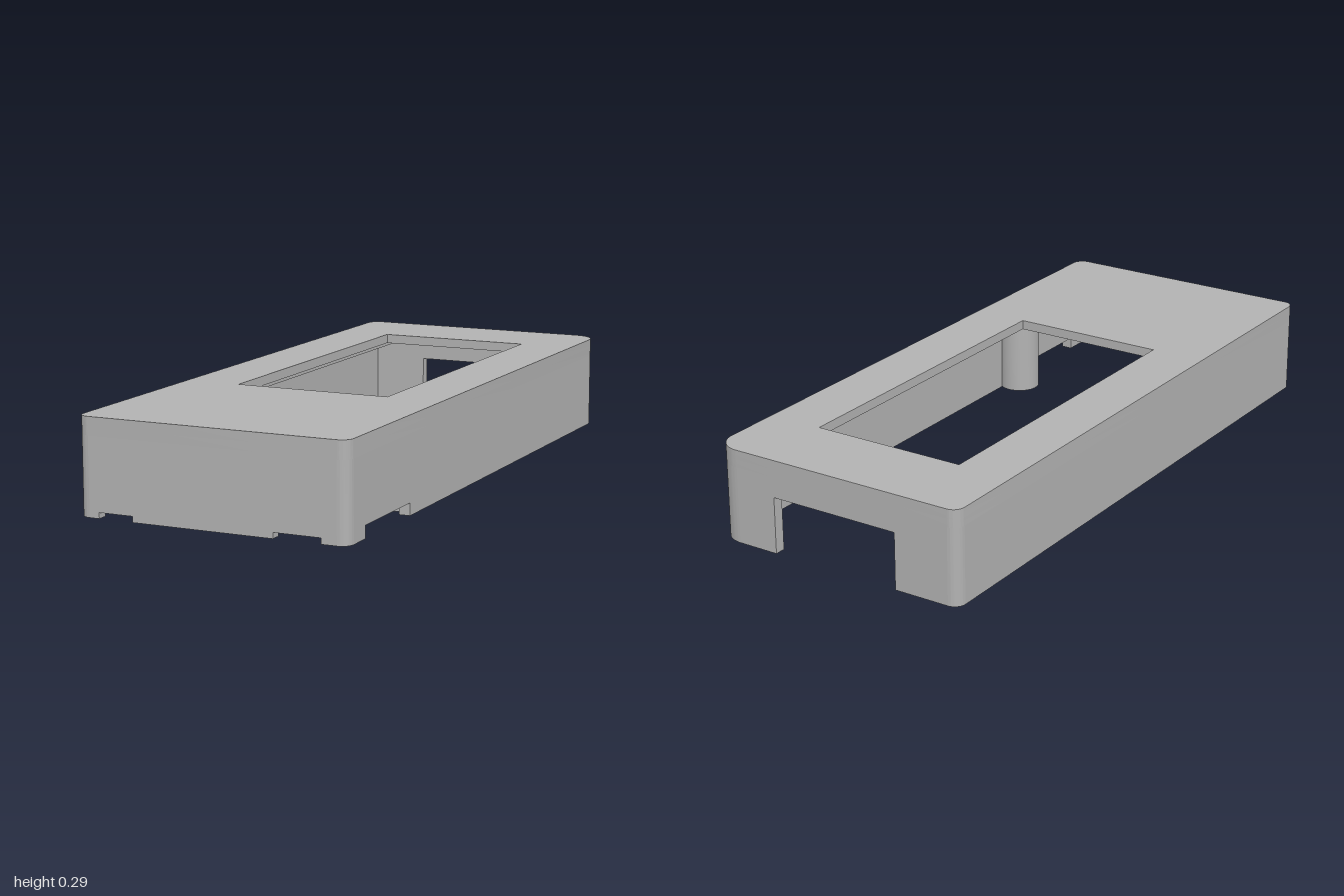
import * as THREE from 'three';
import { toCreasedNormals } from 'three/addons/utils/BufferGeometryUtils.js';

const W = 0.427, L = 1, H = 0.295;   // half width, half length, height
const T = 0.035, R = 0.08;           // wall thickness, large corner radius
const CEILING = 0.24, PLATE = 0.265; // undersides of the roof and of the thin window frame

export function createModel() {
  const group = new THREE.Group();
  const plastic = new THREE.MeshStandardMaterial({ color: 0xb2b2b2 });
  plastic.name = 'grey plastic';

  const add = (name, geometry, x = 0, y = 0, z = 0) => {
    const mesh = new THREE.Mesh(toCreasedNormals(geometry, 0.5), plastic);
    mesh.name = name;
    mesh.position.set(x, y, z);
    group.add(mesh);
    return mesh;
  };
  const extrude = (shape, depth) =>
    new THREE.ExtrudeGeometry(shape, { depth, bevelEnabled: false, curveSegments: 10 });

  // Case outline in x and z; one back corner is rounder
  const outline = () => {
    const s = new THREE.Shape();
    s.absarc(W - R, -L + R, R, -Math.PI / 2, 0);
    s.absarc(W - T, L - T, T, 0, Math.PI / 2);
    s.absarc(-W + T, L - T, T, Math.PI / 2, Math.PI);
    s.absarc(-W + T, -L + T, T, Math.PI, Math.PI * 1.5);
    s.closePath();
    return s;
  };

  // Horizontal slab with a rectangular opening
  const slab = (name, bottom, top, x, z0, z1) => {
    const s = outline();
    s.holes.push(new THREE.Path([
      new THREE.Vector2(-x, z0), new THREE.Vector2(-x, z1),
      new THREE.Vector2(x, z1), new THREE.Vector2(x, z0),
    ]));
    add(name, extrude(s, top - bottom).rotateX(Math.PI / 2), 0, top, 0);
  };
  slab('topPlateWithWindow', PLATE, H, 0.25, -0.735, 0.36);
  slab('roofWithDisplayRecess', CEILING, PLATE, 0.292, -0.94, 0.515);

  // Upright wall from a to b, with notches [start, end, height] in its lower edge
  const wall = (name, a, b, notches, x, z, turn = 0) => {
    const s = new THREE.Shape();
    s.moveTo(a, 0);
    for (const [n0, n1, h] of notches) {
      s.lineTo(n0, 0);
      s.lineTo(n0, h);
      s.lineTo(n1, h);
      s.lineTo(n1, 0);
    }
    s.lineTo(b, 0);
    s.lineTo(b, CEILING);
    s.lineTo(a, CEILING);
    s.closePath();
    add(name, extrude(s, T), x, 0, z).rotation.y = turn;
  };
  wall('frontWall', -W + T, W - T, [[-0.36, -0.25, 0.018], [0.197, 0.345, 0.018]], 0, L - T);
  wall('backWall', -W + T, W - R, [[-0.213, 0.213, 0.178]], 0, -L);
  wall('leftWall', -L + R, L - T, [[0.59, 0.89, 0.038]], W, 0, -Math.PI / 2);
  wall('rightWall', -L + T, L - T, [], -W + T, 0, -Math.PI / 2);

  // Rounded wall corners: centre x, centre z, radius, start angle
  const corners = [
    [W - R, -L + R, R, -Math.PI / 2],
    [W - T, L - T, T, 0],
    [-W + T, L - T, T, Math.PI / 2],
    [-W + T, -L + T, T, Math.PI],
  ];
  for (const [x, z, r, start] of corners) {
    const end = start + Math.PI / 2;
    const s = new THREE.Shape();
    s.absarc(0, 0, r, start, end);
    if (r > T) s.absarc(0, 0, r - T, end, start, true);
    else s.lineTo(0, 0);
    s.closePath();
    add('wallCorner', extrude(s, CEILING).rotateX(Math.PI / 2), x, CEILING, z);
  }

  // Hollow screw posts hanging from the roof, with a stepped bore
  const post = [
    [0, 0.2], [0.03, 0.2], [0.03, 0.03], [0.047, 0.03],
    [0.047, 0], [0.065, 0], [0.065, CEILING + 0.002],
  ].map(([r, y]) => new THREE.Vector2(r, y));
  for (const [x, z] of [[-0.355, 0.5], [0.355, 0.5], [0, 0.92]]) {
    add('screwPost', new THREE.LatheGeometry(post, 32), x, 0.001, z);
  }

  return group;
}
